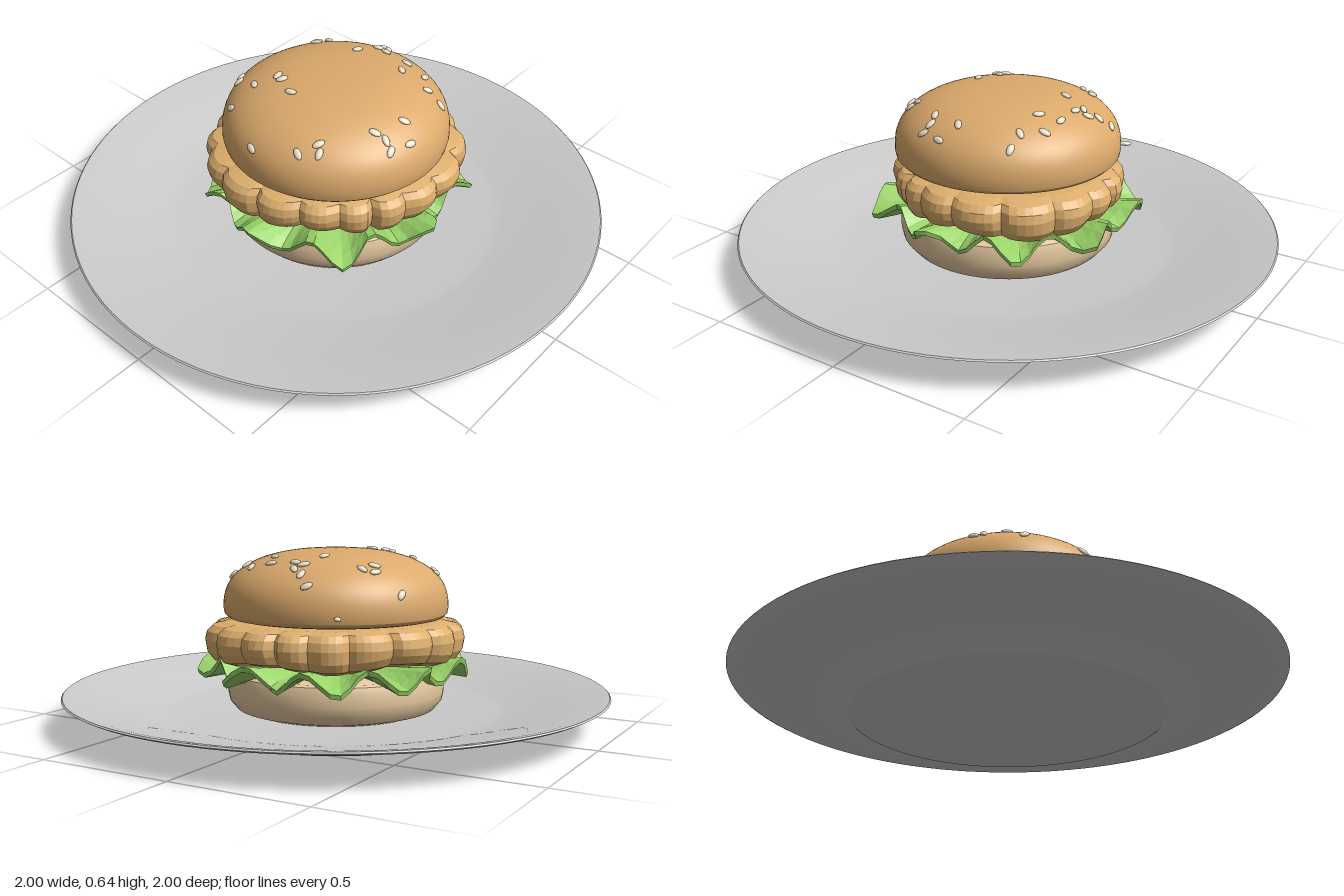
import * as THREE from 'three';
import { toCreasedNormals } from 'three/addons/utils/BufferGeometryUtils.js';

const TAU = Math.PI * 2, DEG = Math.PI / 180;

function addMesh(parent, name, geometry, color, flatShading = false) {
  const mesh = new THREE.Mesh(geometry, new THREE.MeshStandardMaterial({ color, flatShading }));
  mesh.name = name;
  parent.add(mesh);
  return mesh;
}

// Turned solid; profile runs from the bottom centre, outwards, to the top centre
function turned(profile, segments = 64) {
  const points = profile.map(([r, y]) => new THREE.Vector2(r, y));
  return toCreasedNormals(new THREE.LatheGeometry(points, segments), 0.55);
}

// Closed ruffled solid: section(angle) gives [radius, height] pairs, bottom centre to top centre
function ruffled(section, segments) {
  const position = [], index = [];
  const rows = section(0).length;
  for (let j = 0; j < segments; j++) {
    const a = (j / segments) * TAU;
    for (const [r, y] of section(a)) position.push(r * Math.cos(a), y, r * Math.sin(a));
  }
  for (let j = 0; j < segments; j++) {
    for (let i = 0; i < rows - 1; i++) {
      const a = j * rows + i, c = ((j + 1) % segments) * rows + i;
      index.push(a, a + 1, c, a + 1, c + 1, c);
    }
  }
  const geometry = new THREE.BufferGeometry();
  geometry.setAttribute('position', new THREE.Float32BufferAttribute(position, 3));
  geometry.setIndex(index);
  geometry.computeVertexNormals();
  return geometry;
}

// Lettuce outline: [degrees from +x towards +z, radius]
const LEAF = [
  [0, 0.44], [16, 0.5], [20, 0.51], [27, 0.45], [45, 0.45], [57, 0.52], [68, 0.44], [86, 0.43],
  [95, 0.517], [105, 0.44], [123, 0.43], [135, 0.515], [149, 0.46], [163, 0.44], [175, 0.51],
  [186, 0.47], [200, 0.44], [211, 0.505], [228, 0.45], [247, 0.49], [258, 0.486], [267, 0.46],
  [280, 0.43], [288, 0.49], [306, 0.485], [318, 0.44], [329, 0.5], [342, 0.505], [360, 0.44],
];

function leafRadius(angle) {
  const d = angle / DEG;
  const k = Math.max(1, LEAF.findIndex(([a]) => a >= d));
  const [a0, r0] = LEAF[k - 1], [a1, r1] = LEAF[k];
  return r0 + ((r1 - r0) * (d - a0)) / (a1 - a0);
}

function lettuceSection(angle) {
  const rim = leafRadius(angle);
  const wave = -Math.cos(13 * (angle - 80 * DEG));
  const at = (f, lift) => [rim * f, 0.212 + lift + 0.038 * wave * f ** 3];
  return [
    [0, 0.2], at(0.55, -0.012), at(0.75, -0.012), at(0.9, -0.012), at(0.99, -0.01),
    at(1, 0.008), at(0.9, 0.012), at(0.75, 0.012), at(0.55, 0.012), [0, 0.224],
  ];
}

// Scalloped patty, slightly longer on one diagonal
function pattySection(angle) {
  const lobe = Math.abs(Math.sin(9 * angle + 0.5 * Math.sin(3 * angle)));
  const r = 0.42 + 0.03 * Math.cos(2 * (angle - 45 * DEG)) + 0.035 * Math.sqrt(lobe);
  const sag = 0.01 * Math.sin(5 * angle + 1);
  return [
    [0, 0.235], [r * 0.84, 0.235 + sag], [r * 0.94, 0.25 + sag], [r * 0.985, 0.28 + sag], [r, 0.315],
    [r * 0.985, 0.345], [r * 0.94, 0.366], [r * 0.85, 0.376], [r * 0.65, 0.38], [0, 0.38],
  ];
}

// Dome of the top bun
const DOME = { r: 0.415, y: 0.425, h: 0.215, n: 2.45 };
const domeHeight = (r) =>
  DOME.y + DOME.h * Math.max(0, 1 - (r / DOME.r) ** DOME.n) ** (1 / DOME.n);

// Seed places on the dome in hundredths: x, z
const SEEDS = [
  [-14, -34], [-17, -32], [-29, -24], [-19, -22], [-12, -17], [-13, -14], [-17, -6], [-39, -4],
  [18, -36], [20, -27], [17, -25], [22, -23], [37, -22], [20, -7], [29, -4], [28, 0], [32, -2],
  [34, -6], [37, -10], [28, 10], [21, 13], [27, 19], [21, 25], [21, 31], [-34, 13], [-30, 19],
  [-28, 17], [-12, 28], [-11, 32], [-12, 35], [-4, 37], [0, 31],
];

export function createModel() {
  const model = new THREE.Group();
  model.name = 'burgerOnPlate';

  // Plate with a foot, sloping rim and flat floor
  addMesh(model, 'plate', turned([
    [0, 0], [0.57, 0], [0.6, 0.02], [0.8, 0.066], [0.985, 0.11], [1, 0.118], [0.995, 0.123],
    [0.97, 0.12], [0.8, 0.083], [0.64, 0.048], [0.6, 0.042], [0, 0.042],
  ], 96), 0xcccccc);

  // Bottom bun
  addMesh(model, 'bottomBun', turned([
    [0, 0.042], [0.33, 0.042], [0.37, 0.055], [0.395, 0.085], [0.402, 0.12],
    [0.4, 0.165], [0.392, 0.188], [0.38, 0.195], [0, 0.195],
  ]), 0xe6c9a0);

  addMesh(model, 'lettuce', ruffled(lettuceSection, 90), 0x9ad468, true);
  addMesh(model, 'patty', ruffled(pattySection, 108), 0xdfb06e, true);

  // Top bun: rounded lower edge, then the dome up to the crown
  const bun = [[0, 0.387], [0.375, 0.387], [0.398, 0.392], [0.411, 0.405]];
  for (let i = 0; i <= 20; i++) {
    const t = (i / 20) * (Math.PI / 2);
    const r = i === 20 ? 0 : DOME.r * Math.cos(t) ** (2 / DOME.n);
    bun.push([r, domeHeight(r)]);
  }
  addMesh(model, 'topBun', turned(bun), 0xdcaa6c);

  // Sesame seeds lying flat on the dome, turned at varied angles
  const seeds = new THREE.Group();
  seeds.name = 'sesameSeeds';
  model.add(seeds);
  const seedShape = new THREE.SphereGeometry(1, 10, 8).scale(0.023, 0.008, 0.013);
  const up = new THREE.Vector3(0, 1, 0);
  SEEDS.forEach(([sx, sz], i) => {
    const x = sx / 100, z = sz / 100, r = Math.hypot(x, z);
    const slope = (domeHeight(r + 0.004) - domeHeight(r - 0.004)) / 0.008;
    const normal = new THREE.Vector3((-slope * x) / r, 1, (-slope * z) / r).normalize();
    const seed = addMesh(seeds, 'sesameSeed', seedShape, 0xe9e0cb);
    seed.position.set(x, domeHeight(r), z).addScaledVector(normal, 0.003);
    seed.quaternion.setFromUnitVectors(up, normal);
    seed.rotateY(i * 2.4);
  });

  return model;
}
